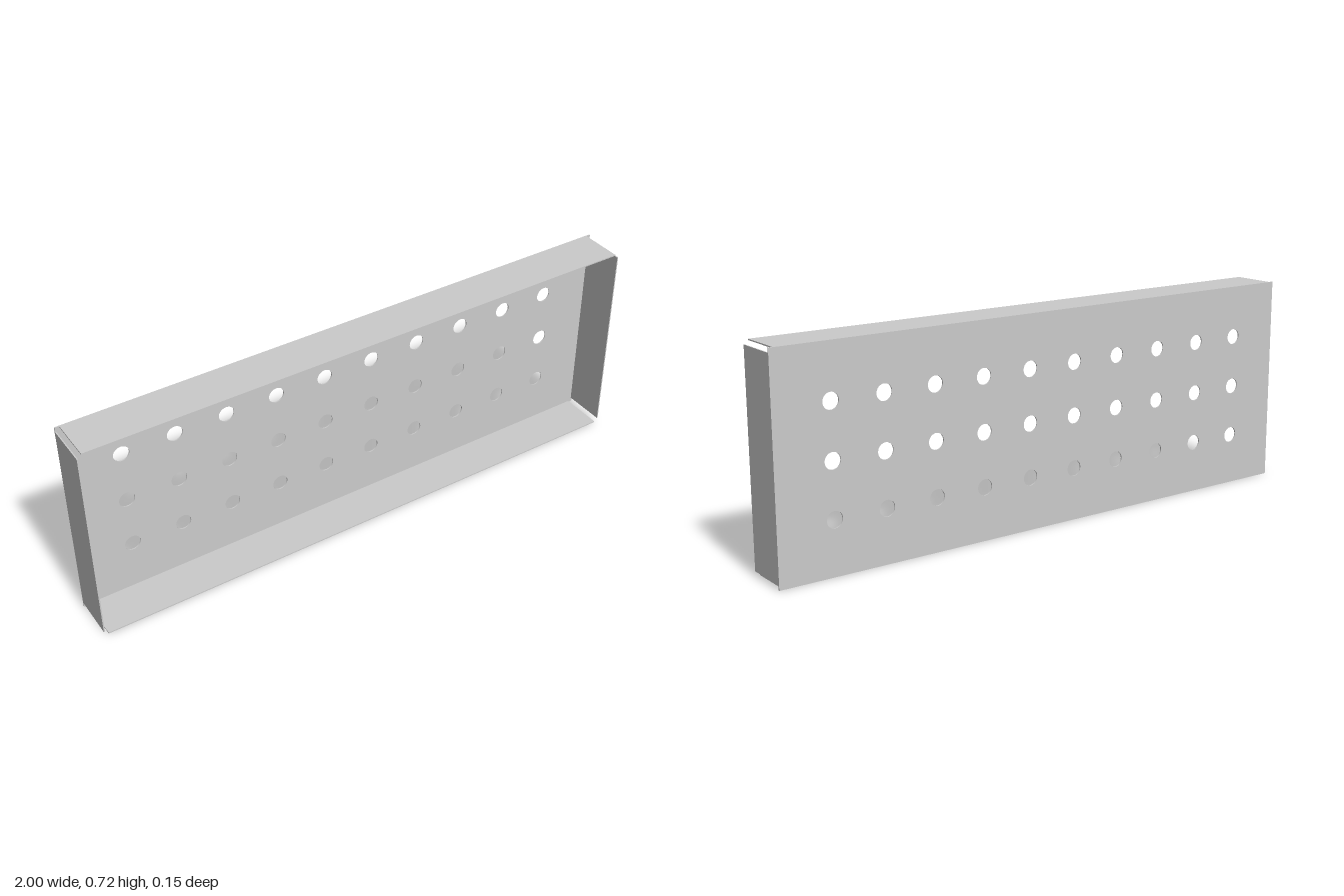
import * as THREE from 'three';

const W = 2, H = 0.718, D = 0.154, T = 0.004; // overall size and sheet thickness
const GAP = 0.015;                            // corner relief between flanges

export function createModel() {
  const group = new THREE.Group();
  const material = new THREE.MeshStandardMaterial({ color: 0xcccccc });

  const add = (name, geometry, x, y, z) => {
    const mesh = new THREE.Mesh(geometry, material);
    mesh.name = name;
    mesh.position.set(x, y, z);
    group.add(mesh);
  };

  // Back panel, perforated by three rows of ten round holes
  const panel = new THREE.Shape([
    new THREE.Vector2(-W / 2, 0),
    new THREE.Vector2(W / 2, 0),
    new THREE.Vector2(W / 2, H),
    new THREE.Vector2(-W / 2, H),
  ]);
  for (let row = -1; row <= 1; row++) {
    for (let col = 0; col < 10; col++) {
      const hole = new THREE.Path();
      hole.absarc((col - 4.5) * 0.18, H / 2 + row * 0.18, 0.027, 0, Math.PI * 2, true);
      panel.holes.push(hole);
    }
  }
  add('backPanel', new THREE.ExtrudeGeometry(panel, { depth: T, bevelEnabled: false, curveSegments: 24 }), 0, 0, -D / 2);

  // Flanges folded forward, stopping short of the corners
  const depth = D - T, z = T / 2;
  const longFlange = new THREE.BoxGeometry(W - 2 * GAP, T, depth);
  add('topFlange', longFlange, 0, H - T / 2, z);
  add('bottomFlange', longFlange, 0, T / 2, z);
  const endFlange = new THREE.BoxGeometry(T, H - 2 * GAP, depth);
  add('leftFlange', endFlange, W / 2 - T / 2, H / 2, z);
  add('rightFlange', endFlange, -W / 2 + T / 2, H / 2, z);

  return group;
}
